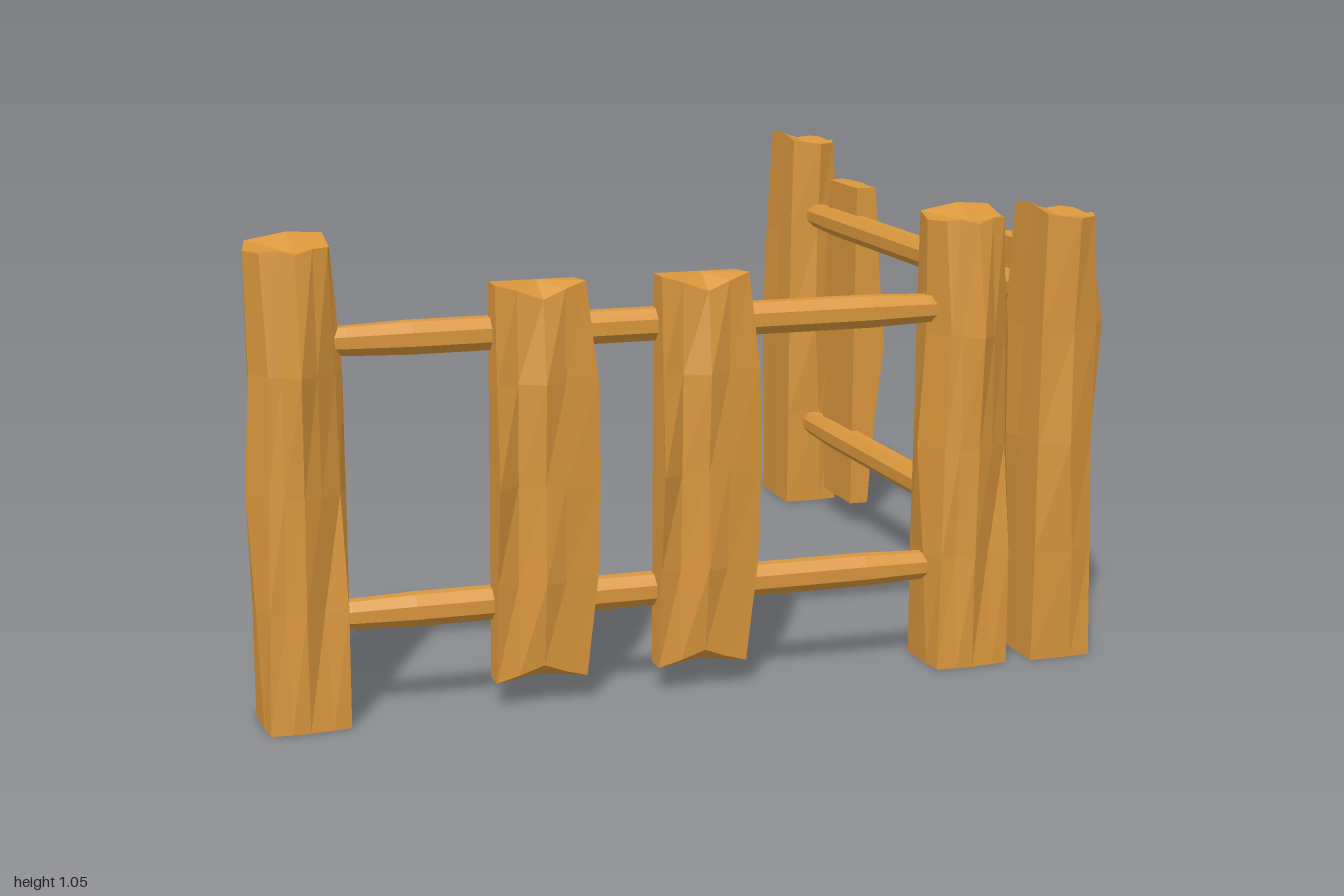
import * as THREE from 'three';

const wood = new THREE.MeshStandardMaterial({ color: 0xd8963c, flatShading: true });

// Skin between rings of [x, y, z] corners (counter-clockwise from above), capped at both ends
function loft(rings, bottomY, topY) {
  const pos = [];
  const n = rings[0].length;
  const last = rings.length - 1;
  const tri = (a, b, c) => pos.push(...a, ...b, ...c);
  for (let r = 0; r < last; r++) {
    for (let i = 0; i < n; i++) {
      const j = (i + 1) % n;
      const [a, b, c, d] = [rings[r][i], rings[r][j], rings[r + 1][j], rings[r + 1][i]];
      tri(a, b, c);
      tri(a, c, d);
    }
  }
  for (let i = 0; i < n; i++) {
    const j = (i + 1) % n;
    tri([0, bottomY, 0], rings[0][j], rings[0][i]);
    tri([0, topY, 0], rings[last][i], rings[last][j]);
  }
  const geo = new THREE.BufferGeometry();
  geo.setAttribute('position', new THREE.Float32BufferAttribute(pos, 3));
  geo.computeVertexNormals();
  return geo;
}

// Rough-hewn post: five rings of ten corners, front left to right, then round the back
function postGeometry() {
  const heights = [0, 0.26, 0.51, 0.77, 1.025];
  const outline = [
    [-.09, .02, -.085, .07, -.04, .075, 0, .075, .05, .07, .09, .065, .095, 0, .095, -.078, 0, -.08, -.09, -.08],
    [-.1, .01, -.08, .065, -.045, .065, -.005, .085, .04, .055, .09, .06, .095, 0, .095, -.082, 0, -.082, -.092, -.08],
    [-.112, -.01, -.075, .06, -.045, .075, -.005, .09, .035, .07, .08, .04, .098, .01, .085, -.094, 0, -.085, -.09, -.08],
    [-.1, -.005, -.07, .065, -.045, .07, -.01, .112, .03, .075, .075, .035, .095, .01, .088, -.084, 0, -.08, -.09, -.08],
    [-.106, 0, -.08, .045, -.05, .055, -.01, .065, .03, .05, .065, .035, .075, 0, .075, -.075, 0, -.075, -.09, -.075],
  ];
  const chip = [0, 0, .005, -.005, .005, .005, 0, .02, .025, .01];
  const rings = outline.map((row, r) => chip.map((c, i) =>
    [row[2 * i], heights[r] + (r === 4 ? c : 0), row[2 * i + 1]]));
  return loft(rings, 0, 1.015);
}

// Plank: flat back, chipped front; either notched ends or a wavy right edge
function plankGeometry(notched) {
  const heights = [0.06, 0.28, 0.5, 0.72, 0.935];
  const right = notched ? [.1, .125, .13, .125, .098] : [.1, .12, .095, .12, .1];
  const front = [
    [.045, .05, .055, .05, .045],
    [.06, .045, .075, .055, .045],
    [.085, .05, .07, .06, .045],
    [.065, .05, .08, .055, .045],
    [.05, .045, .055, .05, .04],
  ];
  const notch = [0, .015, .035, .015, 0];
  const rings = heights.map((y, r) => {
    const across = [-.105, -.055, 0, .05, right[r]];
    const dir = r === 0 ? 1 : r === 4 ? -1 : 0;
    const ring = across.map((x, i) => [x, y + (notched ? dir * notch[i] : 0), front[r][i]]);
    ring.push([right[r] - .015, y, -.005], [-.105, y, -.005]);
    return ring;
  });
  return loft(rings, 0.06, 0.935);
}

// Octagonal rail with slightly tapered ends, lying along x
function railGeometry() {
  const profile = [[0, -.72], [.029, -.72], [.033, -.66], [.038, -.52], [.038, .52], [.033, .66], [.029, .72], [0, .72]]
    .map(([r, y]) => new THREE.Vector2(r, y));
  return new THREE.LatheGeometry(profile, 8, Math.PI / 8).rotateZ(-Math.PI / 2);
}

const post = postGeometry();
const notchedPlank = plankGeometry(true);
const wavyPlank = plankGeometry(false);
const rail = railGeometry();

// One fence panel facing +z; planks are [x, notched]
function fencePanel(name, planks) {
  const panel = new THREE.Group();
  panel.name = name;
  const add = (part, geo, x, y, z) => {
    const mesh = new THREE.Mesh(geo, wood);
    mesh.name = part;
    mesh.position.set(x, y, z);
    panel.add(mesh);
  };
  add('rightPost', post, -.885, 0, .765);
  add('leftPost', post, .645, 0, .765);
  add('lowerRail', rail, -.12, .23, .76);
  add('upperRail', rail, -.12, .825, .76);
  planks.forEach(([x, notched], i) =>
    add('plank' + (i + 1), notched ? notchedPlank : wavyPlank, x, 0, .765));
  return panel;
}

export function createModel() {
  const model = new THREE.Group();
  model.name = 'cornerFence';
  model.add(fencePanel('frontPanel', [[-.365, true], [.005, true]]));
  // Second panel turned to face +x
  const side = fencePanel('sidePanel', [[-.645, false], [-.36, true], [.375, false]]);
  side.rotation.y = Math.PI / 2;
  side.position.set(.11, 0, -.14);
  model.add(side);
  return model;
}
